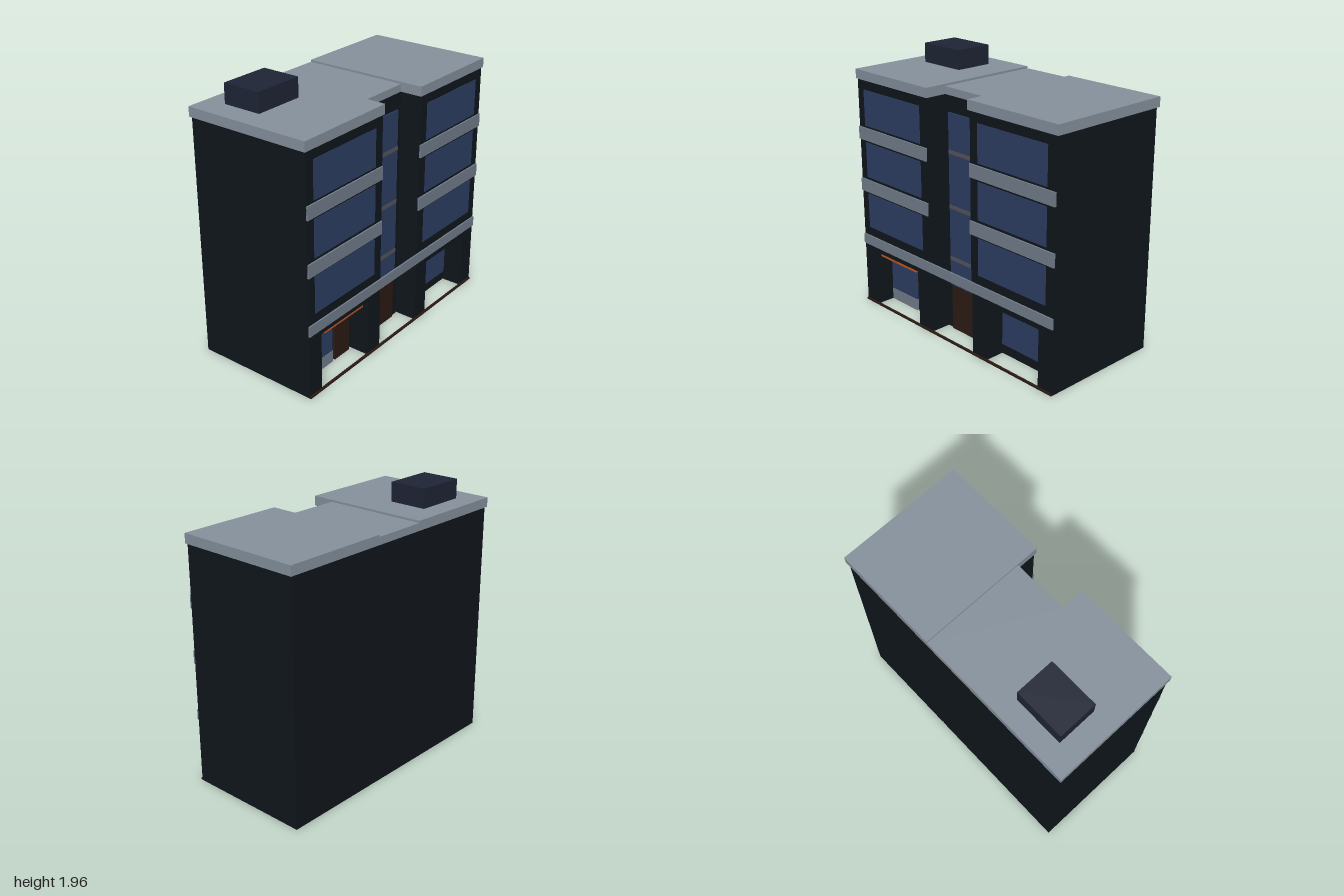
import * as THREE from 'three';

const mat = (color) => new THREE.MeshStandardMaterial({ color });

export function createModel() {
  const building = new THREE.Group();
  building.name = 'officeBuilding';

  const wall = mat(0x10161c);
  const roof = mat(0x86929e);
  const stone = mat(0x737f8d);
  const glass = mat(0x2d3f65);
  const wood = mat(0x2d1b14);
  const mullion = mat(0x56565c);
  const orange = mat(0xc8581e);
  const navy = mat(0x1f2536);

  // Box given by its minimum and maximum on each axis
  const block = (name, material, x0, x1, y0, y1, z0, z1) => {
    const mesh = new THREE.Mesh(new THREE.BoxGeometry(x1 - x0, y1 - y0, z1 - z0), material);
    mesh.position.set((x0 + x1) / 2, (y0 + y1) / 2, (z0 + z1) / 2);
    mesh.name = name;
    building.add(mesh);
    return mesh;
  };

  // Outline in x and y, extruded from z0 to z1
  const slab = (name, points, z0, z1) => {
    const shape = new THREE.Shape(points.map(([x, y]) => new THREE.Vector2(x, y)));
    const geometry = new THREE.ExtrudeGeometry(shape, { depth: z1 - z0, bevelEnabled: false });
    geometry.translate(0, 0, z0);
    const mesh = new THREE.Mesh(geometry, wall);
    mesh.name = name;
    building.add(mesh);
  };

  const top = 1.75;
  const back = -0.465;
  const recess = 0.305;
  const front = 0.465;

  // Left-hand wing: solid rear and a front with a ground-floor porch
  block('westWingRear', wall, -0.988, -0.22, 0, top, back, recess);
  slab('westWingFront', [
    [-0.988, 0], [-0.86, 0], [-0.86, 0.435], [-0.355, 0.435], [-0.355, 0],
    [-0.22, 0], [-0.22, top], [-0.988, top],
  ], recess, front);

  // Right-hand wing, with a narrow joint beside the stairwell at ground level
  slab('eastWingRear', [
    [0.224, 0], [0.986, 0], [0.986, top], [0.216, top], [0.216, 0.47], [0.224, 0.47],
  ], back, recess);
  slab('eastWingFront', [
    [0.224, 0], [0.355, 0], [0.355, 0.43], [0.855, 0.43], [0.855, 0],
    [0.986, 0], [0.986, top], [0.216, top], [0.216, 0.47], [0.224, 0.47],
  ], recess, front);

  // Recessed stairwell
  block('stairwell', wall, -0.22, 0.216, 0, top, back, recess - 0.005);

  // Roof slabs
  block('westRoof', roof, -1, -0.208, top, 1.82, -0.478, 0.472);
  block('eastRoof', roof, 0.202, 1, top, 1.82, -0.478, 0.472);
  block('stairwellRoof', roof, -0.208, 0.202, top, 1.805, -0.478, 0.307);
  block('rooftopUnit', navy, -0.83, -0.455, 1.82, 1.962, -0.325, -0.035);

  // Upper windows, three floors on each wing
  for (const [y0, y1] of [[0.62, 0.888], [1.018, 1.285], [1.412, 1.68]]) {
    block('westWindow', glass, -0.92, -0.295, y0, y1, 0.46, 0.469);
    block('eastWindow', glass, 0.29, 0.912, y0, y1, 0.46, 0.469);
  }

  // Floor bands
  for (const [y0, y1] of [[0.902, 0.998], [1.302, 1.397]]) {
    block('westBand', stone, -0.988, -0.224, y0, y1, 0.462, 0.476);
    block('eastBand', stone, 0.216, 0.986, y0, y1, 0.462, 0.476);
  }
  block('groundFloorBand', stone, -0.988, 0.986, 0.476, 0.552, 0.464, 0.476);

  // Tall stairwell window with crossbars, and the main door below
  block('stairwellWindow', glass, -0.176, 0.172, 0.35, 1.63, 0.295, 0.312);
  for (const y of [0.558, 0.95, 1.352]) {
    block('windowCrossbar', mullion, -0.176, 0.172, y - 0.014, y + 0.014, 0.3, 0.315);
  }
  block('mainDoor', wood, -0.164, 0.156, 0, 0.35, 0.295, 0.311);

  // Shop fronts inside the porches
  block('westShopWindow', glass, -0.86, -0.565, 0.09, 0.412, 0.3, 0.32);
  block('westShopPanel', stone, -0.86, -0.565, 0, 0.09, 0.3, 0.322);
  block('westShopDoor', wood, -0.542, -0.38, 0, 0.312, 0.3, 0.32);
  block('shopAwning', orange, -0.81, -0.4, 0.41, 0.436, 0.42, 0.455);
  block('eastShopWindow', glass, 0.368, 0.84, 0.08, 0.418, 0.3, 0.32);

  // Threshold strip along the street side
  block('threshold', wood, -0.988, 0.986, 0, 0.014, 0.46, 0.476);

  return building;
}
